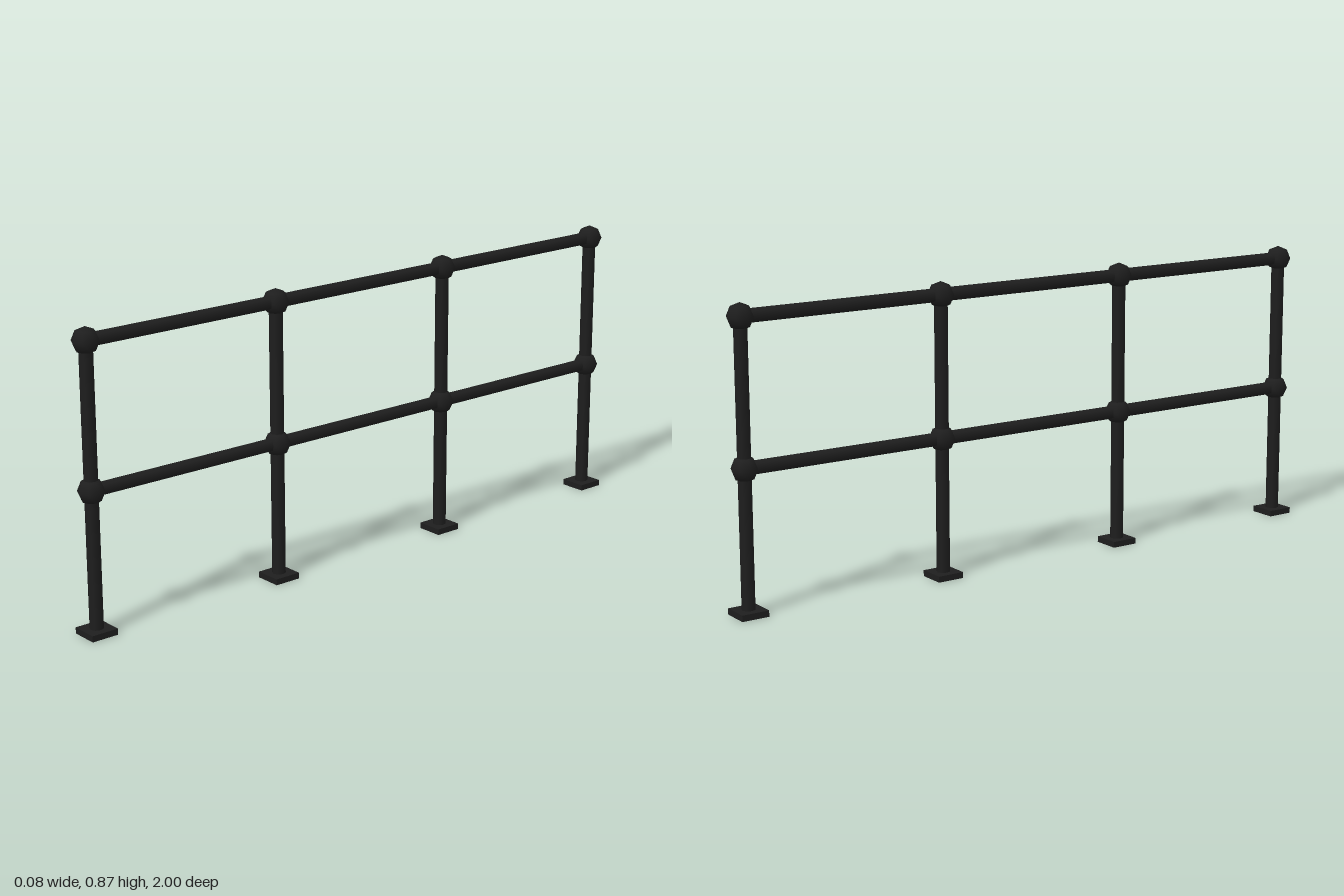
import * as THREE from 'three';

const SPAN = 0.9585;                 // z of the end posts
const RAIL_HEIGHTS = [0.416, 0.835];
const PIPE_RADIUS = 0.02, JOINT_RADIUS = 0.039;

export function createModel() {
  const model = new THREE.Group();
  model.name = 'railing';
  const blackMetal = new THREE.MeshStandardMaterial({ color: 0x1e1e1e });
  blackMetal.name = 'blackMetal';

  const add = (name, geometry, y, z) => {
    const mesh = new THREE.Mesh(geometry, blackMetal);
    mesh.name = name;
    mesh.position.set(0, y, z);
    model.add(mesh);
    return mesh;
  };

  const top = RAIL_HEIGHTS[1];
  const postGeometry = new THREE.CylinderGeometry(PIPE_RADIUS, PIPE_RADIUS, top, 8);
  const railGeometry = new THREE.CylinderGeometry(PIPE_RADIUS, PIPE_RADIUS, SPAN * 2, 8);
  const jointGeometry = new THREE.SphereGeometry(JOINT_RADIUS, 8, 4);
  const baseGeometry = new THREE.BoxGeometry(0.083, 0.018, 0.083);

  // Four posts, each with a base plate and a ball joint at every rail
  for (let i = 0; i < 4; i++) {
    const z = SPAN - (i * SPAN * 2) / 3;
    add('basePlate', baseGeometry, 0.009, z);
    add('post', postGeometry, top / 2, z);
    for (const y of RAIL_HEIGHTS) add('joint', jointGeometry, y, z);
  }

  // Two rails running the full length
  for (const y of RAIL_HEIGHTS) add('rail', railGeometry, y, 0).rotation.x = Math.PI / 2;

  return model;
}
